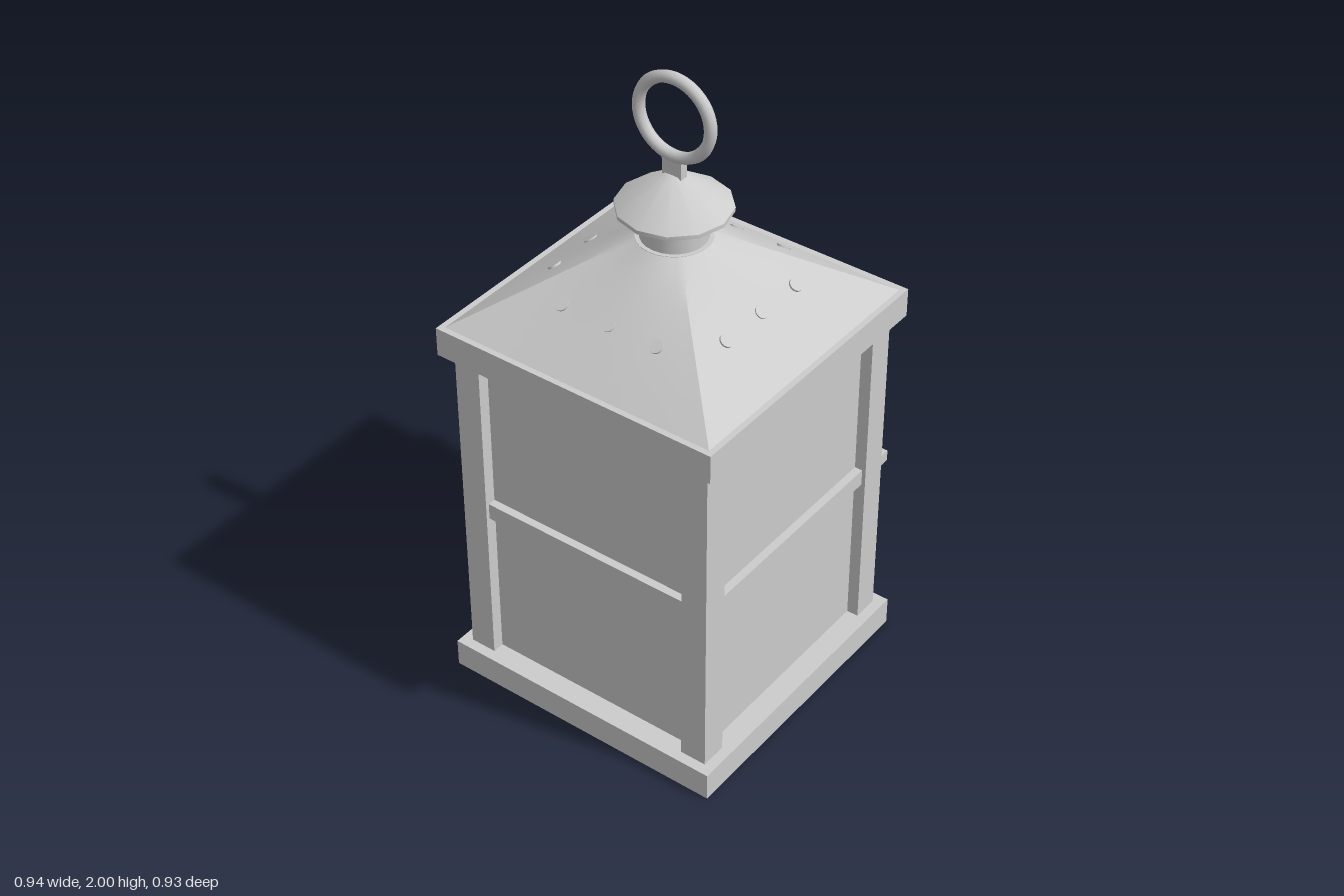
import * as THREE from 'three';
import { toCreasedNormals } from 'three/addons/utils/BufferGeometryUtils.js';

export function createModel() {
  const model = new THREE.Group();
  model.name = 'lantern';
  const body = new THREE.Group();
  body.name = 'lanternBody';
  body.position.x = -0.01;
  model.add(body);
  const metal = new THREE.MeshStandardMaterial({ color: 0xcccccc });
  metal.name = 'pale grey metal';

  const add = (name, geometry, x = 0, y = 0, z = 0, parent = body) => {
    const mesh = new THREE.Mesh(geometry, metal);
    mesh.name = name;
    mesh.position.set(x, y, z);
    parent.add(mesh);
    return mesh;
  };
  // Box given by its limits on each axis
  const box = (name, x0, x1, y0, y1, z0, z1, parent = body) =>
    add(name, new THREE.BoxGeometry(x1 - x0, y1 - y0, z1 - z0),
      (x0 + x1) / 2, (y0 + y1) / 2, (z0 + z1) / 2, parent);

  // Base, top plate and corner posts
  const bottom = 0.09, top = 1.16;
  box('base', -0.465, 0.465, 0, bottom, -0.465, 0.465);
  box('topPlate', -0.465, 0.465, top, 1.25, -0.465, 0.465);
  for (const x of [-0.39, 0.39]) for (const z of [-0.39, 0.39])
    box('cornerPost', x - 0.042, x + 0.042, bottom, top, z - 0.042, z + 0.042);

  // Panels and crossbars on front, left and back; the fourth side holds the door
  for (let i = 0; i < 4; i++) {
    const side = new THREE.Group();
    side.name = 'side';
    side.rotation.y = i * Math.PI / 2;
    body.add(side);
    box('panel', -0.35, 0.35, bottom, top, 0.38, 0.395, side);
    if (i !== 1) box('crossbar', -0.35, 0.35, 0.6, 0.653, 0.39, 0.42, side);
  }

  // Door frame with a softly rounded opening
  const frame = new THREE.Shape();
  frame.moveTo(-0.345, bottom).lineTo(0.345, bottom).lineTo(0.345, top).lineTo(-0.345, top).closePath();
  const w = 0.305, y0 = 0.14, y1 = 1.11, r = 0.012;
  const opening = new THREE.Path();
  opening.moveTo(-w + r, y0).lineTo(w - r, y0).quadraticCurveTo(w, y0, w, y0 + r)
    .lineTo(w, y1 - r).quadraticCurveTo(w, y1, w - r, y1)
    .lineTo(-w + r, y1).quadraticCurveTo(-w, y1, -w, y1 - r)
    .lineTo(-w, y0 + r).quadraticCurveTo(-w, y0, -w + r, y0);
  frame.holes.push(opening);
  const door = add('doorFrame', new THREE.ExtrudeGeometry(frame,
    { depth: 0.055, bevelEnabled: false, curveSegments: 3 }), 0.393);
  door.rotation.y = Math.PI / 2;
  box('doorCrossbar', 0.393, 0.445, 0.6, 0.653, -0.306, 0.306);

  // Latch, knob and hinges
  box('latch', 0.42, 0.458, 0.6, 0.652, 0.205, 0.332);
  box('knob', 0.43, 0.48, 0.607, 0.643, 0.385, 0.422);
  for (const y of [0.26, 0.99]) {
    box('hingeStrap', 0.425, 0.458, y - 0.028, y + 0.028, -0.43, -0.155);
    add('hingeBarrel', new THREE.CylinderGeometry(0.016, 0.016, 0.085, 12), 0.457, y, -0.43);
  }

  // Roof lofted from a square eave to a round neck
  const eave = 0.447, neck = 0.108, roofLow = 1.25, roofHigh = 1.495;
  const roof = new THREE.CylinderGeometry(1, 1, 1, 64, 10, true);
  const p = roof.attributes.position;
  for (let i = 0; i < p.count; i++) {
    const a = Math.atan2(p.getX(i), p.getZ(i)), t = p.getY(i) + 0.5;
    const square = eave / Math.max(Math.abs(Math.sin(a)), Math.abs(Math.cos(a)));
    const radius = THREE.MathUtils.lerp(square, neck, t);
    p.setXYZ(i, Math.sin(a) * radius, THREE.MathUtils.lerp(roofLow, roofHigh, t), Math.cos(a) * radius);
  }
  add('roof', toCreasedNormals(roof, 0.5));
  add('neckCover', new THREE.CylinderGeometry(neck, neck, 0.006, 32), 0, 1.493);

  // Thin vent discs, three on each slope
  const slope = Math.atan2(roofHigh - roofLow, eave - neck);
  for (let i = 0; i < 4; i++) {
    const vents = new THREE.Group();
    vents.name = 'vents';
    vents.rotation.y = i * Math.PI / 2;
    body.add(vents);
    for (const x of [-0.16, 0, 0.16])
      add('vent', new THREE.CylinderGeometry(0.02, 0.02, 0.006, 16), x, 1.363, 0.292, vents).rotation.x = slope;
  }

  // Chimney collar, struts and cap
  add('collar', new THREE.CylinderGeometry(0.096, 0.096, 0.053, 24), 0, 1.52);
  for (const x of [-0.06, 0.06]) for (const z of [-0.06, 0.06])
    add('strut', new THREE.CylinderGeometry(0.008, 0.008, 0.06, 8), x, 1.568, z);
  const cap = [[0, 1.585], [0.165, 1.585], [0.165, 1.597], [0.025, 1.692], [0, 1.694]];
  add('cap', toCreasedNormals(new THREE.LatheGeometry(
    cap.map(([x, y]) => new THREE.Vector2(x, y)), 12), 0.6));

  // Hanging ring on its stem
  box('ringStem', -0.013, 0.013, 1.68, 1.745, -0.032, 0.032);
  add('ring', new THREE.TorusGeometry(0.118, 0.018, 8, 48), 0, 1.864).rotation.y = Math.PI / 2;

  return model;
}
